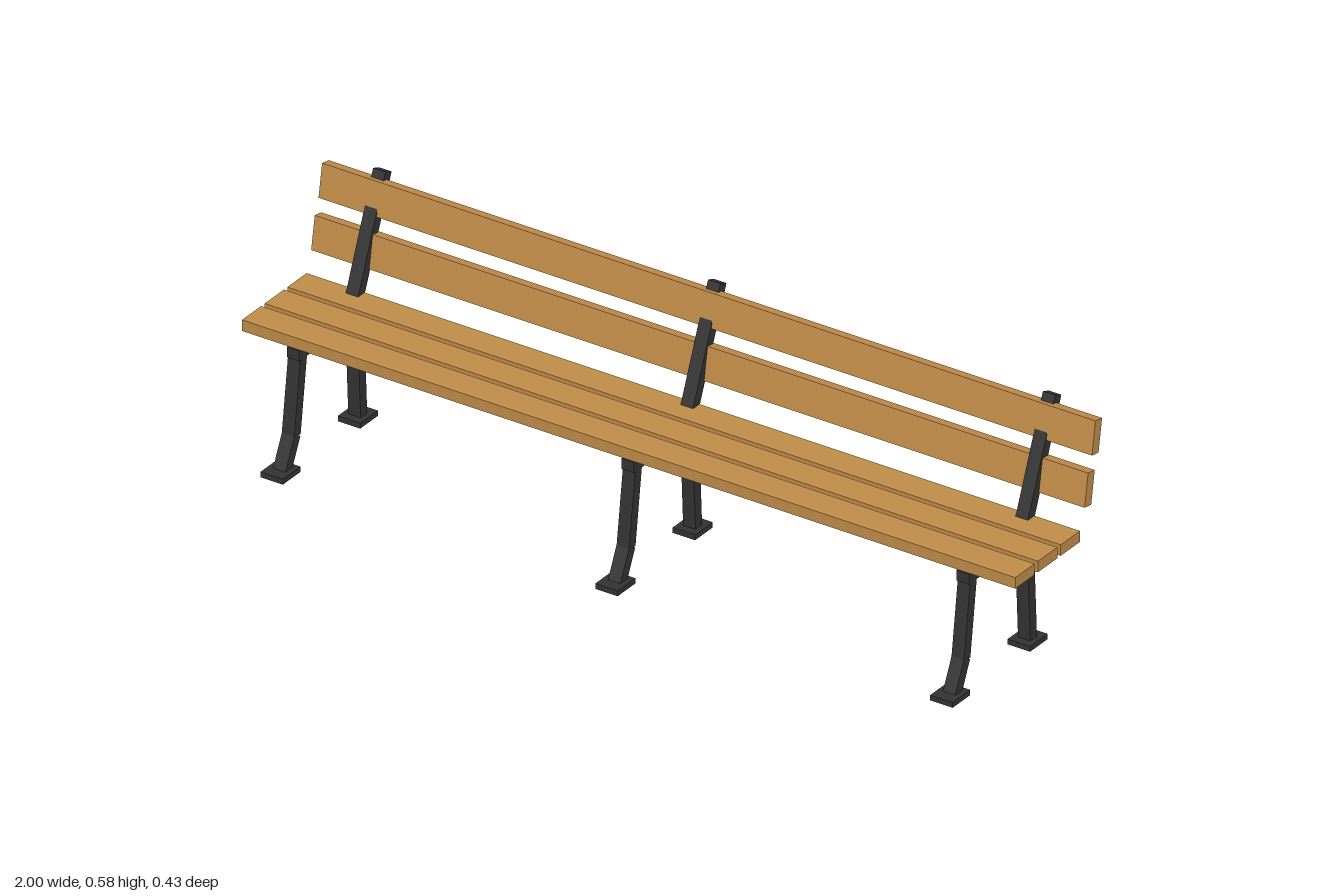
import * as THREE from 'three';

const wood = new THREE.MeshStandardMaterial({ color: 0xc08c48 });
wood.name = 'wood';
const iron = new THREE.MeshStandardMaterial({ color: 0x333333 });
iron.name = 'dark iron';

const BAR_WIDTH = 0.032;

function box(name, material, size, position, tilt = 0) {
  const mesh = new THREE.Mesh(new THREE.BoxGeometry(...size), material);
  mesh.name = name;
  mesh.position.set(...position);
  mesh.rotation.x = tilt;
  return mesh;
}

// Straight iron bar between two [z, y] points
function bar(name, [z0, y0], [z1, y1], thickness = 0.025) {
  const dz = z1 - z0, dy = y1 - y0;
  return box(name, iron, [BAR_WIDTH, Math.hypot(dz, dy), thickness],
    [0, (y0 + y1) / 2, (z0 + z1) / 2], Math.atan2(dz, dy));
}

// One iron support: legs, feet, seat rail and back post
function createSupport(x) {
  const support = new THREE.Group();
  support.name = 'support';
  support.position.x = x;
  support.add(
    box('seatRail', iron, [BAR_WIDTH, 0.026, 0.252], [0, 0.28, 0.011]),
    bar('frontUpperLeg', [0.144, 0.087], [0.119, 0.275]),
    bar('frontLowerLeg', [0.182, 0.0055], [0.144, 0.087]),
    bar('rearLeg', [-0.11, 0.01], [-0.097, 0.275]),
    bar('backPost', [-0.086, 0.283], [-0.2035, 0.574]),
    box('frontFoot', iron, [0.058, 0.013, 0.067], [0, 0.0128, 0.185]),
    box('rearFoot', iron, [0.058, 0.013, 0.067], [0, 0.0128, -0.11]),
  );
  return support;
}

export function createModel() {
  const bench = new THREE.Group();
  bench.name = 'bench';

  for (const x of [-0.866, 0, 0.866]) bench.add(createSupport(x));

  // Seat slats
  for (const z of [0.0975, 0.011, -0.0755]) {
    bench.add(box('seatSlat', wood, [2, 0.027, 0.0735], [0, 0.3065, z]));
  }

  // Leaning backrest slats
  for (const [y, z] of [[0.406, -0.149], [0.521, -0.177]]) {
    bench.add(box('backSlat', wood, [2, 0.08, 0.0255], [0, y, z], -0.17));
  }
  return bench;
}
